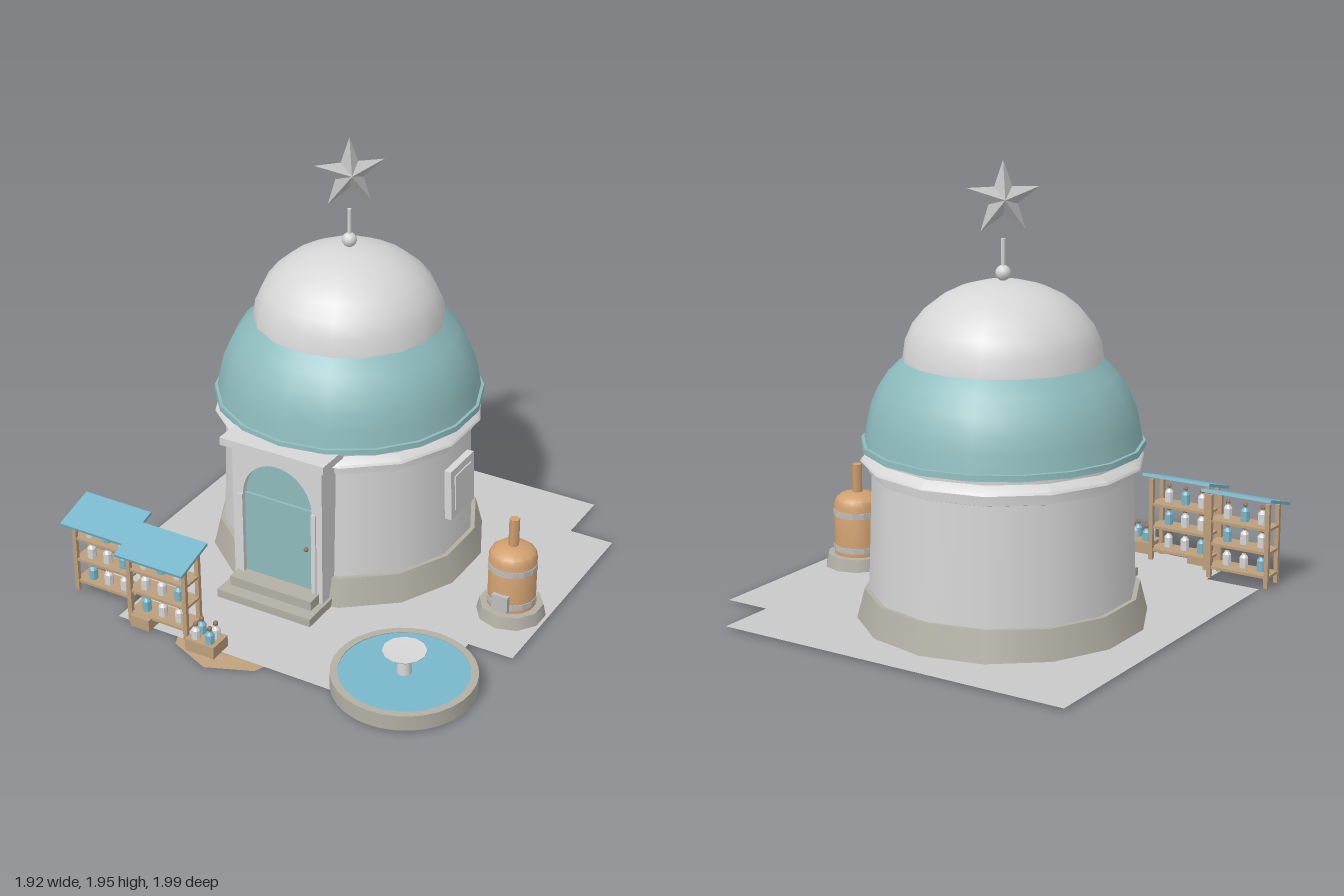
import * as THREE from 'three';
import { toCreasedNormals } from 'three/addons/utils/BufferGeometryUtils.js';

const paint = (name, color, extra = {}) =>
  Object.assign(new THREE.MeshStandardMaterial({ color, ...extra }), { name });

export function createModel() {
  const plaster = paint('pale plaster', 0xd6d6d6);
  const teal = paint('teal', 0x8dbabc);
  const blue = paint('water blue', 0x78b6cb);
  const stone = paint('stone', 0xb2afa4);
  const copper = paint('copper', 0xd0a070);
  const wood = paint('wood', 0xbc9f7c);
  const brown = paint('brown', 0x9a7050);
  const paving = paint('paving', 0xc8c8c8, { side: THREE.DoubleSide });
  const metal = paint('faceted metal', 0xbdbdbd, { flatShading: true });

  const model = new THREE.Group();
  const group = (name, x = 0, y = 0, z = 0, parent = model) => {
    const g = new THREE.Group();
    g.name = name;
    g.position.set(x, y, z);
    parent.add(g);
    return g;
  };
  const add = (parent, name, geometry, material, x = 0, y = 0, z = 0) => {
    const mesh = new THREE.Mesh(geometry, material);
    mesh.name = name;
    mesh.position.set(x, y, z);
    parent.add(mesh);
    return mesh;
  };
  // Box given by its low and high corners
  const box = (parent, name, material, x0, x1, y0, y1, z0, z1) =>
    add(parent, name, new THREE.BoxGeometry(x1 - x0, y1 - y0, z1 - z0), material,
      (x0 + x1) / 2, (y0 + y1) / 2, (z0 + z1) / 2);
  // Upright cylinder between two heights
  const drum = (parent, name, material, r0, r1, y0, y1, sides, x = 0, z = 0) =>
    add(parent, name, new THREE.CylinderGeometry(r1, r0, y1 - y0, sides), material, x, (y0 + y1) / 2, z);
  const turned = (parent, name, material, points, sides, crease = 0.6) =>
    add(parent, name, toCreasedNormals(
      new THREE.LatheGeometry(points.map(p => new THREE.Vector2(...p)), sides), crease), material);

  // Paved ground with stepped corners
  const plan = new THREE.Shape([[-0.913, 1], [0.75, 1], [0.75, 0.735], [0.957, 0.735], [0.957, -0.3],
    [0.75, -0.3], [0.75, -0.87], [-0.655, -0.87], [-0.655, -0.65], [-0.913, -0.65]]
    .map(p => new THREE.Vector2(...p)));
  add(model, 'ground', new THREE.ShapeGeometry(plan), paving, 0, 0.012, 0).rotation.x = -Math.PI / 2;
  drum(model, 'frontMound', wood, 0.28, 0.2, 0, 0.011, 8, -0.14, 0.705);

  // Round tower
  const tower = group('tower', -0.132, 0, -0.22);
  drum(tower, 'footing', stone, 0.624, 0.59, 0.008, 0.14, 14);
  drum(tower, 'wall', plaster, 0.57, 0.55, 0.14, 0.74, 14);
  turned(tower, 'cornice', plaster,
    [[0.55, 0.645], [0.565, 0.65], [0.568, 0.695], [0.6, 0.7], [0.595, 0.71], [0.56, 0.735], [0.56, 0.765]], 14, 0.5);
  turned(tower, 'domeRim', teal, [[0.5, 0.76], [0.6, 0.76], [0.598, 0.785], [0.57, 0.787]], 18);
  turned(tower, 'lowerDome', teal, [[0.585, 0.785], [0.572, 0.86], [0.555, 0.93], [0.525, 1.0],
    [0.48, 1.07], [0.418, 1.13], [0, 1.13]], 18);
  const cap = [];
  for (let i = 0; i <= 7; i++) {
    const a = i / 7 * Math.PI / 2;
    cap.push([0.42 * Math.cos(a), 1.13 + 0.327 * Math.sin(a)]);
  }
  turned(tower, 'upperDome', plaster, cap, 18);
  add(tower, 'finialBall', new THREE.SphereGeometry(0.033, 12, 8), plaster, 0, 1.487, 0);
  drum(tower, 'finialRod', plaster, 0.009, 0.009, 1.5, 1.63, 8);

  // Faceted star
  const corners = [], R = 0.162;
  const tip = i => {
    const a = i * Math.PI / 5, r = i % 2 ? R * 0.4 : R;
    return [-r * Math.sin(a), r * Math.cos(a), 0];
  };
  for (let i = 0; i < 10; i++) {
    corners.push(0, 0, 0.042, ...tip(i), ...tip(i + 1), 0, 0, -0.042, ...tip(i + 1), ...tip(i));
  }
  const starShape = new THREE.BufferGeometry();
  starShape.setAttribute('position', new THREE.Float32BufferAttribute(corners, 3));
  starShape.computeVertexNormals();
  add(tower, 'star', starShape, metal, 0, 1.792, 0).rotation.y = Math.PI / 4;

  // Side window
  const window = group('sideWindow', 0.432, 0.436, -0.212);
  window.rotation.z = 0.035;
  box(window, 'windowFrame', plaster, -0.05, 0.015, -0.12, 0.12, -0.108, 0.108);
  box(window, 'windowPane', plaster, 0.015, 0.021, -0.085, 0.085, -0.075, 0.075);

  // Doorway: arched portal, recessed door, lintel and steps
  const doorway = group('doorway', -0.132, 0, 0);
  const arch = (w, y0, spring, top) => path => {
    path.moveTo(-w, y0);
    path.lineTo(w, y0);
    path.lineTo(w, spring);
    path.absellipse(0, spring, w, top - spring, 0, Math.PI, false);
    path.lineTo(-w, y0);
    return path;
  };
  const opening = arch(0.172, 0.05, 0.49, 0.67);
  const portal = new THREE.Shape([[-0.223, 0.012], [0.223, 0.012], [0.223, 0.735], [-0.223, 0.735]]
    .map(p => new THREE.Vector2(...p)));
  portal.holes.push(opening(new THREE.Path()));
  add(doorway, 'portal', new THREE.ExtrudeGeometry(portal, { depth: 0.25, bevelEnabled: false }), plaster, 0, 0, 0.15);
  add(doorway, 'archPanel', new THREE.ShapeGeometry(opening(new THREE.Shape())), teal, 0, 0, 0.372);
  box(doorway, 'door', teal, -0.172, 0.172, 0.09, 0.49, 0.365, 0.385);
  for (const s of [-1, 1]) {
    box(doorway, 'doorJamb', plaster, s * 0.183 - 0.011, s * 0.183 + 0.011, 0.09, 0.49, 0.38, 0.408);
  }
  add(doorway, 'doorKnob', new THREE.SphereGeometry(0.011, 8, 6), brown, 0.14, 0.3, 0.395);
  box(doorway, 'lintel', plaster, -0.257, 0.257, 0.73, 0.766, 0.2, 0.443);
  box(doorway, 'lowerStep', stone, -0.236, 0.236, 0.012, 0.05, 0.25, 0.53);
  box(doorway, 'upperStep', stone, -0.206, 0.206, 0.05, 0.095, 0.25, 0.47);

  // Round pool with a bowl on a stem
  const pool = group('pool', 0.65, 0, 0.685);
  turned(pool, 'poolRim', stone, [[0, 0.01], [0.307, 0.01], [0.307, 0.08], [0.275, 0.08], [0.275, 0.07]], 32);
  drum(pool, 'water', blue, 0.277, 0.277, 0.07, 0.076, 32);
  drum(pool, 'bowlStem', plaster, 0.032, 0.028, 0.07, 0.15, 12);
  turned(pool, 'bowl', plaster, [[0.028, 0.14], [0.06, 0.155], [0.093, 0.18], [0.093, 0.184], [0, 0.178]], 12);

  // Copper still
  const still = group('still', 0.797, 0, -0.012);
  drum(still, 'stillBase', stone, 0.152, 0.14, 0.012, 0.068, 10);
  turned(still, 'stillBody', copper, [[0.107, 0.068], [0.107, 0.3], [0.098, 0.325], [0.075, 0.343],
    [0.035, 0.352], [0, 0.354]], 14);
  drum(still, 'stillChimney', copper, 0.023, 0.023, 0.34, 0.483, 6);
  for (const y of [0.098, 0.262]) drum(still, 'stillBand', metal, 0.11, 0.11, y - 0.013, y + 0.013, 14);
  box(still, 'stillHatch', metal, -0.037, 0.037, 0.08, 0.158, 0.08, 0.122);

  // Stoppered bottle
  const bottle = (parent, x, y, z, material) => {
    const g = group('bottle', x, y, z, parent);
    turned(g, 'bottleBody', material, [[0, 0], [0.02, 0], [0.02, 0.048], [0.009, 0.062], [0.009, 0.07]], 8);
    add(g, 'bottleStopper', new THREE.SphereGeometry(0.012, 6, 5), brown, 0, 0.075, 0);
  };

  // Two roofed market shelves; blueAt gives the column of the blue bottle on each level
  const stall = (x, z, blueAt) => {
    const g = group('marketShelf', x, 0, z);
    for (const sx of [-1, 1]) for (const sz of [-1, 1]) {
      box(g, 'post', wood, sx * 0.142 - 0.01, sx * 0.142 + 0.01, 0.01, 0.385 - sz * 0.012,
        sz * 0.05 - 0.009, sz * 0.05 + 0.009);
    }
    [0.065, 0.175, 0.282].forEach((y, level) => {
      box(g, 'shelf', wood, -0.15, 0.15, y - 0.012, y, -0.055, 0.055);
      for (let i = 0; i < 3; i++) {
        bottle(g, (i - 1) * 0.085, y, 0.012, i === blueAt[level] ? blue : plaster);
      }
    });
    add(g, 'shelfRoof', new THREE.BoxGeometry(0.343, 0.014, 0.206), blue, 0, 0.395, 0.01).rotation.x = 0.28;
  };
  stall(-0.79, 0.733, [0, 2, 1]);
  stall(-0.445, 0.818, [0, 2, 1]);

  // Crates
  box(model, 'smallCrate', wood, -0.57, -0.475, 0.01, 0.064, 0.8, 0.9);
  box(model, 'bottleCrate', wood, -0.268, -0.125, 0.01, 0.066, 0.82, 0.93);
  for (const x of [-0.231, -0.161]) for (const z of [0.854, 0.9]) {
    bottle(model, x, 0.06, z, (x < -0.2) === (z > 0.88) ? plaster : blue);
  }
  return model;
}
